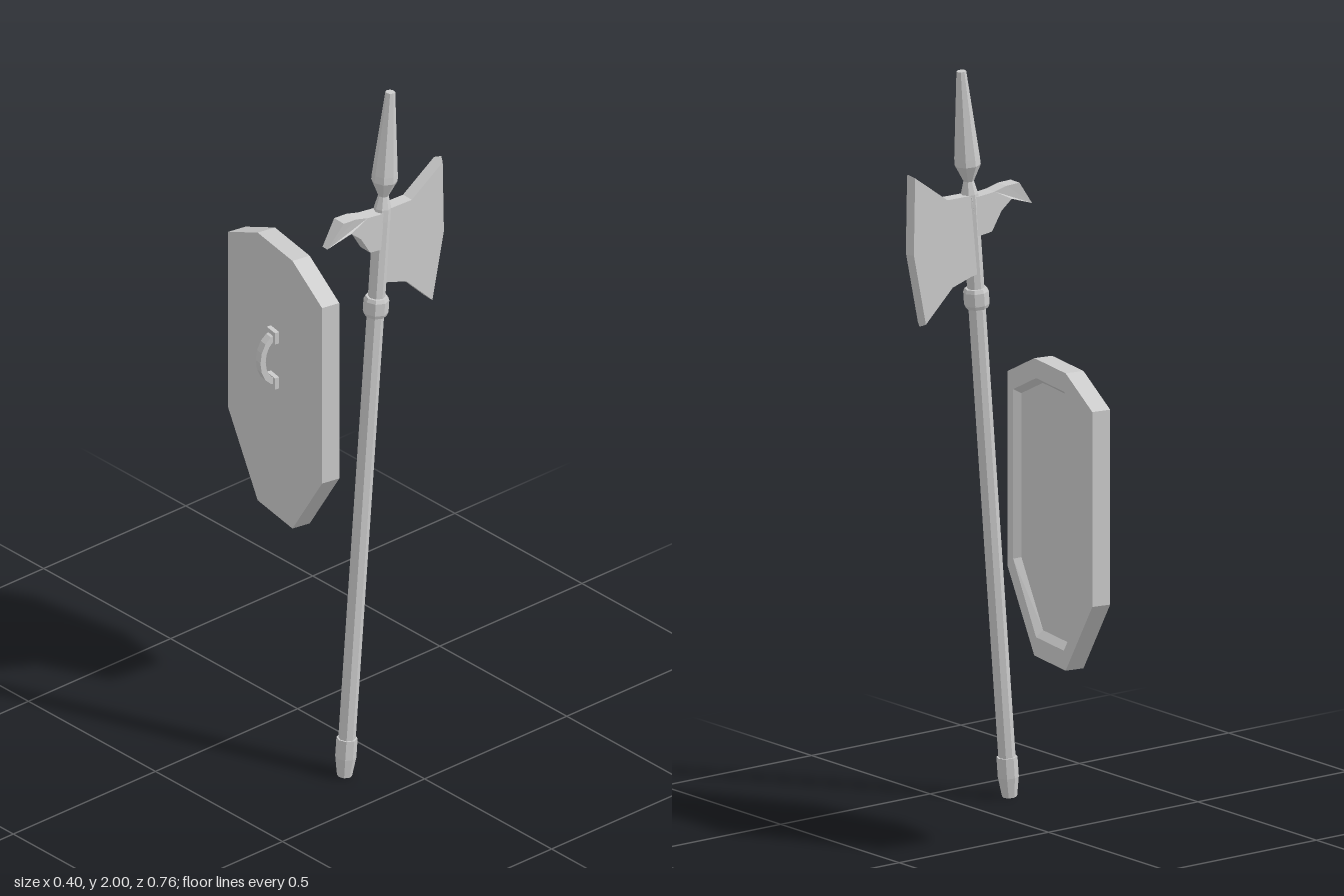
import * as THREE from 'three';
import { ConvexGeometry } from 'three/addons/geometries/ConvexGeometry.js';

const material = new THREE.MeshStandardMaterial({ color: 0xcccccc, flatShading: true });

function addPart(parent, name, geometry) {
  const mesh = new THREE.Mesh(geometry, material);
  mesh.name = name;
  parent.add(mesh);
  return mesh;
}

const points = (list) => list.map(([x, y]) => new THREE.Vector2(x, y));

// Eight-sided turned part from [radius, height] pairs, bottom to top
const turned = (profile) => new THREE.LatheGeometry(points(profile), 8);

// Plate with a given outline, centred on its thickness
function plate(outline, thickness) {
  const geometry = new THREE.ExtrudeGeometry(new THREE.Shape(points(outline)), {
    depth: thickness, bevelEnabled: false,
  });
  return geometry.translate(0, 0, -thickness / 2);
}

// Closed skin through octagonal loops, running from back to front
function loopSkin(loops) {
  const positions = [];
  for (let k = 0; k + 1 < loops.length; k++) {
    const a = loops[k], b = loops[k + 1];
    for (let i = 0; i < a.length; i++) {
      const j = (i + 1) % a.length;
      positions.push(...a[i], ...a[j], ...b[j], ...a[i], ...b[j], ...b[i]);
    }
  }
  const geometry = new THREE.BufferGeometry();
  geometry.setAttribute('position', new THREE.Float32BufferAttribute(positions, 3));
  geometry.computeVertexNormals();
  return geometry;
}

// Shield outline: half widths of top, sides and bottom, and the four corner heights
function octagon(top, side, bottom, yTop, yShoulder, yLow, yBottom, z) {
  const right = [[bottom, yBottom, z], [side, yLow, z], [side, yShoulder, z], [top, yTop, z]];
  const left = right.map(([x, y]) => [-x, y, z]).reverse();
  return [...right, ...left];
}

function createShield() {
  const shield = new THREE.Group();
  shield.name = 'shield';
  const half = 0.0265;
  const floor = half - 0.018;
  const centre = (z) => Array.from({ length: 8 }, () => [0, 0.95, z]);
  addPart(shield, 'shieldBody', loopSkin([
    centre(-half),
    octagon(0.088, 0.2375, 0.088, 1.312, 1.242, 0.713, 0.505, -half),
    octagon(0.088, 0.2375, 0.088, 1.312, 1.242, 0.713, 0.505, half),
    octagon(0.078, 0.206, 0.078, 1.26, 1.2, 0.74, 0.557, half),
    octagon(0.074, 0.194, 0.072, 1.246, 1.19, 0.745, 0.575, floor),
    centre(floor),
  ]));

  // Grip on the back: an arched bar between two plates
  const handle = new THREE.Group();
  handle.name = 'handle';
  handle.position.set(0, 0.98, -half);
  shield.add(handle);
  const arc = (depth, height) => Array.from({ length: 9 }, (_, i) => {
    const angle = -Math.PI / 2 + (i * Math.PI) / 8;
    return [depth * Math.cos(angle), height * Math.sin(angle)];
  });
  const bar = addPart(handle, 'handleBar',
    plate([...arc(0.052, 0.076), ...arc(0.036, 0.058).reverse()], 0.024));
  bar.rotation.y = Math.PI / 2;
  for (const s of [-1, 1]) {
    addPart(handle, 'handlePlate', new THREE.BoxGeometry(0.042, 0.034, 0.014))
      .position.set(0, s * 0.068, -0.006);
  }

  shield.position.set(0.0775, 0, -0.1415);
  shield.rotation.y = 1.387;
  return shield;
}

function createPolearm() {
  const polearm = new THREE.Group();
  polearm.name = 'polearm';

  // Leaning pole with its turned fittings
  const pole = new THREE.Group();
  pole.name = 'pole';
  pole.position.set(-0.145, 0.002, 0.347);
  pole.quaternion.setFromUnitVectors(new THREE.Vector3(0, 1, 0),
    new THREE.Vector3(0.165, 2, -0.004).normalize());
  polearm.add(pole);
  addPart(pole, 'shaft', turned([[0, 0.05], [0.023, 0.05], [0.023, 1.64], [0, 1.64]]));
  addPart(pole, 'buttCap', turned([[0, 0], [0.02, 0], [0.028, 0.055], [0.028, 0.11], [0, 0.11]]));
  addPart(pole, 'collar', turned([[0, 1.35], [0.03, 1.35], [0.034, 1.36], [0.034, 1.395],
    [0.03, 1.405], [0, 1.405]]));
  addPart(pole, 'spearhead', turned([[0, 1.62], [0.024, 1.63], [0.023, 1.665], [0.014, 1.7],
    [0.035, 1.745], [0.034, 1.765], [0.013, 2.003], [0, 2.003]]));

  // Axe head: blade on one side, hooked beak on the other
  const head = new THREE.Group();
  head.name = 'axeHead';
  head.position.z = 0.343;
  head.rotation.y = -0.042;
  polearm.add(head);
  const thick = 0.036;
  const edge = [[0.155, 1.325], [0.196, 1.526], [0.192, 1.743]];
  const inner = [[0.147, 1.333], [0.186, 1.527], [0.182, 1.736]];
  addPart(head, 'blade', plate([[-0.025, 1.445], [0, 1.44], [0.06, 1.42], ...inner,
    [0.077, 1.66], [-0.01, 1.66]], thick));

  // Sharpened rim of the blade
  for (let i = 0; i < 2; i++) {
    const corners = [];
    for (const k of [i, i + 1]) {
      corners.push(new THREE.Vector3(...edge[k], 0));
      for (const s of [-1, 1]) corners.push(new THREE.Vector3(...inner[k], s * thick / 2));
    }
    addPart(head, 'cuttingEdge', new ConvexGeometry(corners));
  }

  // Beak, narrowing towards its tip
  const beak = plate([[-0.203, 1.607], [-0.13, 1.632], [-0.097, 1.605], [-0.066, 1.553],
    [-0.02, 1.547], [0, 1.655], [-0.03, 1.655], [-0.075, 1.66], [-0.113, 1.67],
    [-0.155, 1.672]], 0.04);
  const position = beak.attributes.position;
  for (let i = 0; i < position.count; i++) {
    const taper = THREE.MathUtils.mapLinear(Math.min(position.getX(i), -0.155), -0.155, -0.203, 1, 0.5);
    position.setZ(i, position.getZ(i) * taper);
  }
  beak.computeVertexNormals();
  addPart(head, 'beak', beak);
  return polearm;
}

export function createModel() {
  const model = new THREE.Group();
  model.name = 'polearmAndShield';
  model.add(createPolearm(), createShield());
  return model;
}
